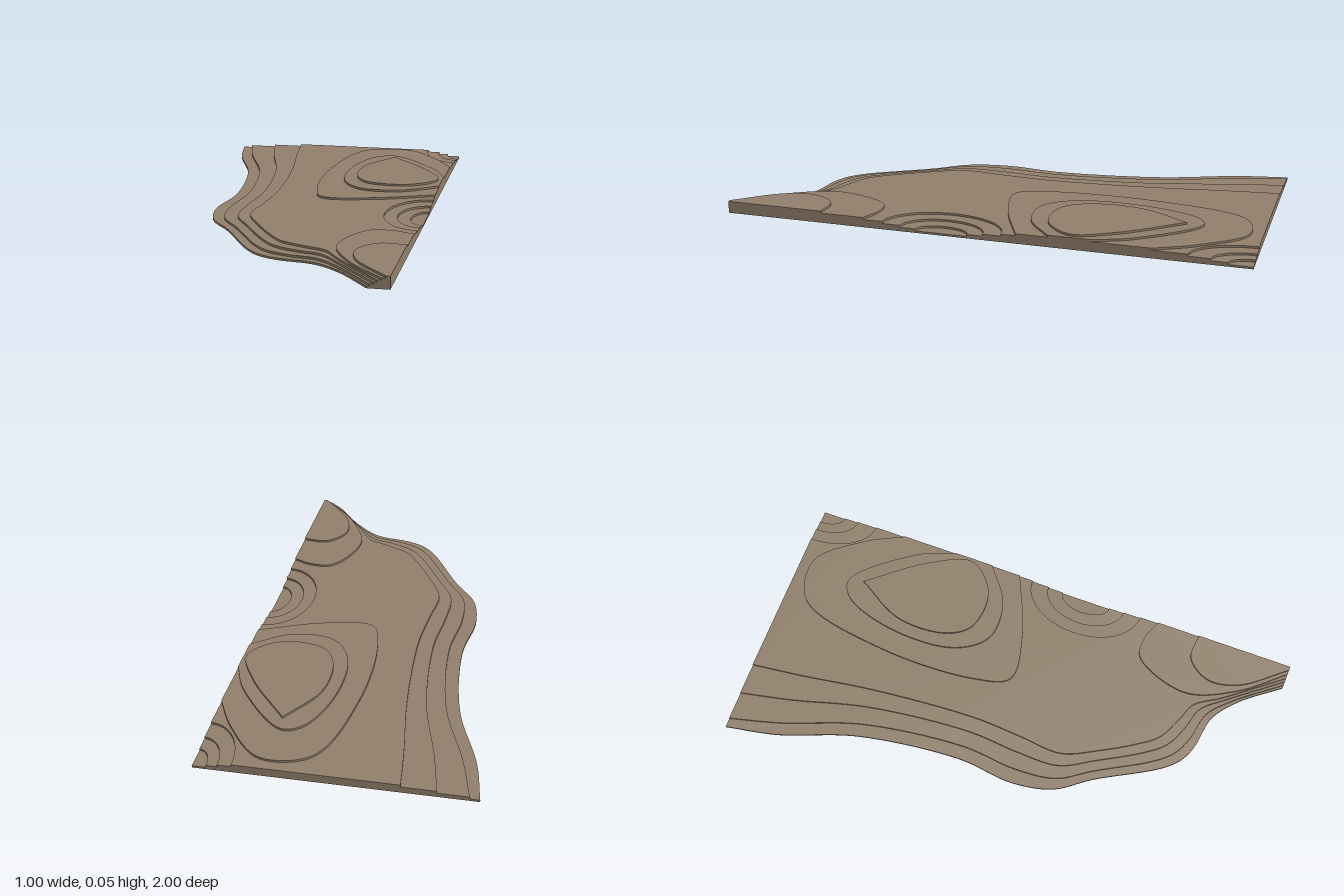
import * as THREE from 'three';

const STEP = 0.0077; // thickness of one terrace
const v = (x, z) => new THREE.Vector2(x, -z); // plan point; flat y is -z
const FRONT = v(0.5, 1), BACK = v(0.5, -1);

// Smooth curve through a few plan points, kept inside the square cut edges
function smooth(points) {
  const curve = new THREE.CatmullRomCurve3(points.map((p) => new THREE.Vector3(p.x, p.y, 0)), false, 'centripetal');
  return curve.getPoints(points.length * 8).map((p) => new THREE.Vector2(
    THREE.MathUtils.clamp(p.x, -0.5, 0.5), THREE.MathUtils.clamp(p.y, -1, 1)));
}

const trace = (coords) => smooth(coords.map(([x, z]) => v(x, z)));

// Arc of an ellipse around a point on the right-hand cut
function arc(z, rx, rz, from, to) {
  return Array.from({ length: 25 }, (_, i) => {
    const a = THREE.MathUtils.lerp(from, to, i / 24);
    return v(0.5 - rx * Math.sin(a), z + rz * Math.cos(a));
  });
}

// Shoreline and the matching edge of the plateau
const shore = [[-0.5, -1], [-0.46, -0.8], [-0.355, -0.5], [-0.303, -0.1], [-0.322, 0.13], [-0.29, 0.29], [-0.2, 0.42],
  [-0.06, 0.66], [0, 0.72], [0.07, 0.75], [0.2, 0.775], [0.3, 0.85], [0.42, 1]];
const plateau = [[-0.23, -1], [-0.205, -0.8], [-0.16, -0.5], [-0.13, -0.1], [-0.14, 0.1], [-0.15, 0.27], [-0.09, 0.4],
  [-0.01, 0.535], [0.05, 0.61], [0.15, 0.66], [0.22, 0.69], [0.29, 0.79], [0.455, 1]];

// Hill and front knoll contours
const hill = [[0.5, -0.64], [0.42, -0.79], [0.27, -0.95], [0.1, -0.91], [0.01, -0.55], [0.02, -0.15], [0.07, -0.02],
  [0.26, -0.04], [0.5, -0.14]];
const upperHill = [[0.5, -0.42], [0.44, -0.56], [0.24, -0.78], [0.17, -0.75], [0.1, -0.55], [0.11, -0.28],
  [0.2, -0.16], [0.36, -0.16], [0.5, -0.26]];
const summit = [[0.25, -0.72], [0.15, -0.53], [0.155, -0.33], [0.22, -0.24], [0.38, -0.23], [0.485, -0.34],
  [0.42, -0.5], [0.25, -0.72]];
const knoll = [[0.5, 0.45], [0.42, 0.42], [0.335, 0.43], [0.255, 0.64], [0.33, 0.83], [0.47, 1]];
const upperKnoll = [[0.5, 0.62], [0.4, 0.62], [0.335, 0.71], [0.355, 0.83], [0.485, 1]];

// Bank terrace between shore (0) and plateau (1); the lower ones spread out towards the back
function bank(atFront, atBack) {
  return smooth(shore.map(([x, z], i) => {
    const t = THREE.MathUtils.lerp(atFront, atBack, Math.min(z, 0) ** 2);
    return v(x, z).lerp(v(...plateau[i]), t);
  }));
}

// Cut edge with a hollow in its side and a falling back corner, both of growing size
function cutEdge(hollowX, hollowZ, cornerX, cornerZ) {
  return [FRONT, ...arc(0.145, hollowX, hollowZ, 0, Math.PI), ...arc(-1, cornerX, cornerZ, 0, Math.PI / 2)];
}

export function createModel() {
  const model = new THREE.Group();
  model.name = 'terracedTerrain';
  const earth = new THREE.MeshStandardMaterial({ color: 0x8f7e6a });
  earth.name = 'earthBrown';

  const addSlab = (name, level, outline) => {
    const geometry = new THREE.ExtrudeGeometry(new THREE.Shape(outline), { depth: STEP, bevelEnabled: false });
    const mesh = new THREE.Mesh(geometry.rotateX(-Math.PI / 2), earth);
    mesh.name = name;
    mesh.position.y = level * STEP;
    model.add(mesh);
  };

  // Base and bank
  addSlab('base', 0, [...bank(0, 0), FRONT, BACK]);
  addSlab('lowerBank', 1, [...bank(0.3, 0.13), ...cutEdge(0.055, 0.1, 0.05, 0.09)]);
  addSlab('upperBank', 2, [...bank(0.66, 0.54), ...cutEdge(0.105, 0.16, 0.09, 0.15)]);
  addSlab('plateau', 3, [...bank(1, 1), ...cutEdge(0.155, 0.23, 0.14, 0.23)]);

  // Hill
  addSlab('hill', 4, trace(hill));
  addSlab('upperHill', 5, trace(upperHill));
  addSlab('summit', 6, trace(summit).slice(1));

  // Front knoll
  addSlab('knoll', 4, [...trace(knoll), FRONT]);
  addSlab('upperKnoll', 5, [...trace(upperKnoll), FRONT]);
  return model;
}
